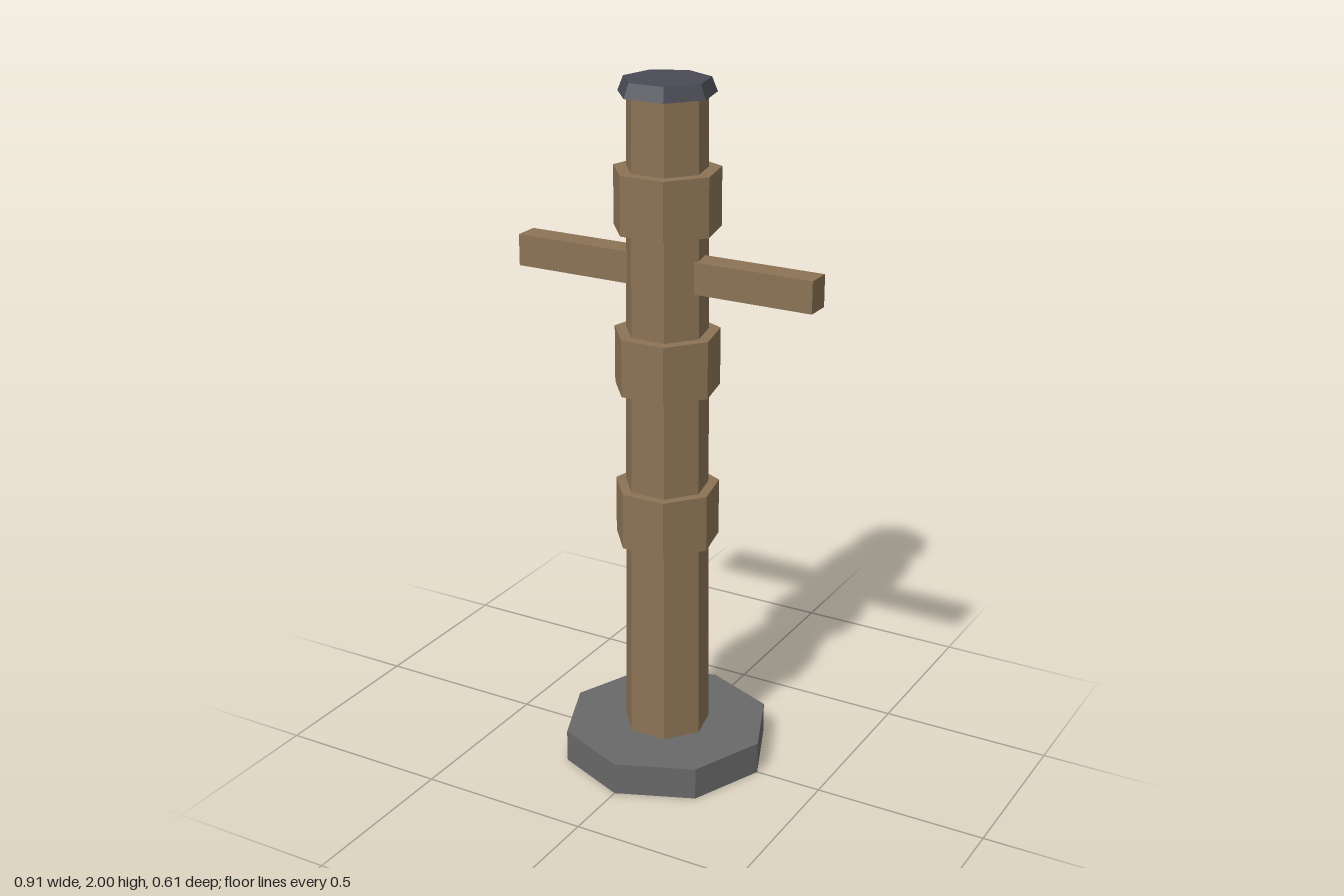
import * as THREE from 'three';

const flat = (name, color) => {
  const m = new THREE.MeshStandardMaterial({ color, flatShading: true });
  m.name = name;
  return m;
};

export function createModel() {
  const wood = flat('wood', 0x8b7355);
  const stone = flat('stone', 0x696969);
  const iron = flat('dark cap', 0x4a4a55);
  const group = new THREE.Group();
  group.name = 'trainingPost';

  const add = (name, geometry, material, y) => {
    const mesh = new THREE.Mesh(geometry, material);
    mesh.name = name;
    mesh.position.y = y;
    group.add(mesh);
    return mesh;
  };

  // Upright prism between two heights, with one corner pointing to the back
  const prism = (name, rTop, rBottom, y0, y1, sides, material) => {
    const g = new THREE.CylinderGeometry(rTop, rBottom, y1 - y0, sides);
    g.rotateY(Math.PI);
    return add(name, g, material, (y0 + y1) / 2);
  };

  // Octagonal foot and tapered seven-sided post
  prism('base', 0.303, 0.303, 0, 0.095, 8, stone);
  prism('post', 0.112, 0.126, 0.095, 1.97, 7, wood);

  // Three bands around the post
  [0.771, 1.225, 1.678].forEach((y, i) =>
    prism('band' + (i + 1), 0.15, 0.15, y - 0.082, y + 0.082, 7, wood));

  // Crossbar through the post
  add('crossbar', new THREE.BoxGeometry(0.906, 0.09, 0.074), wood, 1.48);

  // Bevelled cap
  prism('cap', 0.12, 0.136, 1.96, 2, 7, iron);

  return group;
}
